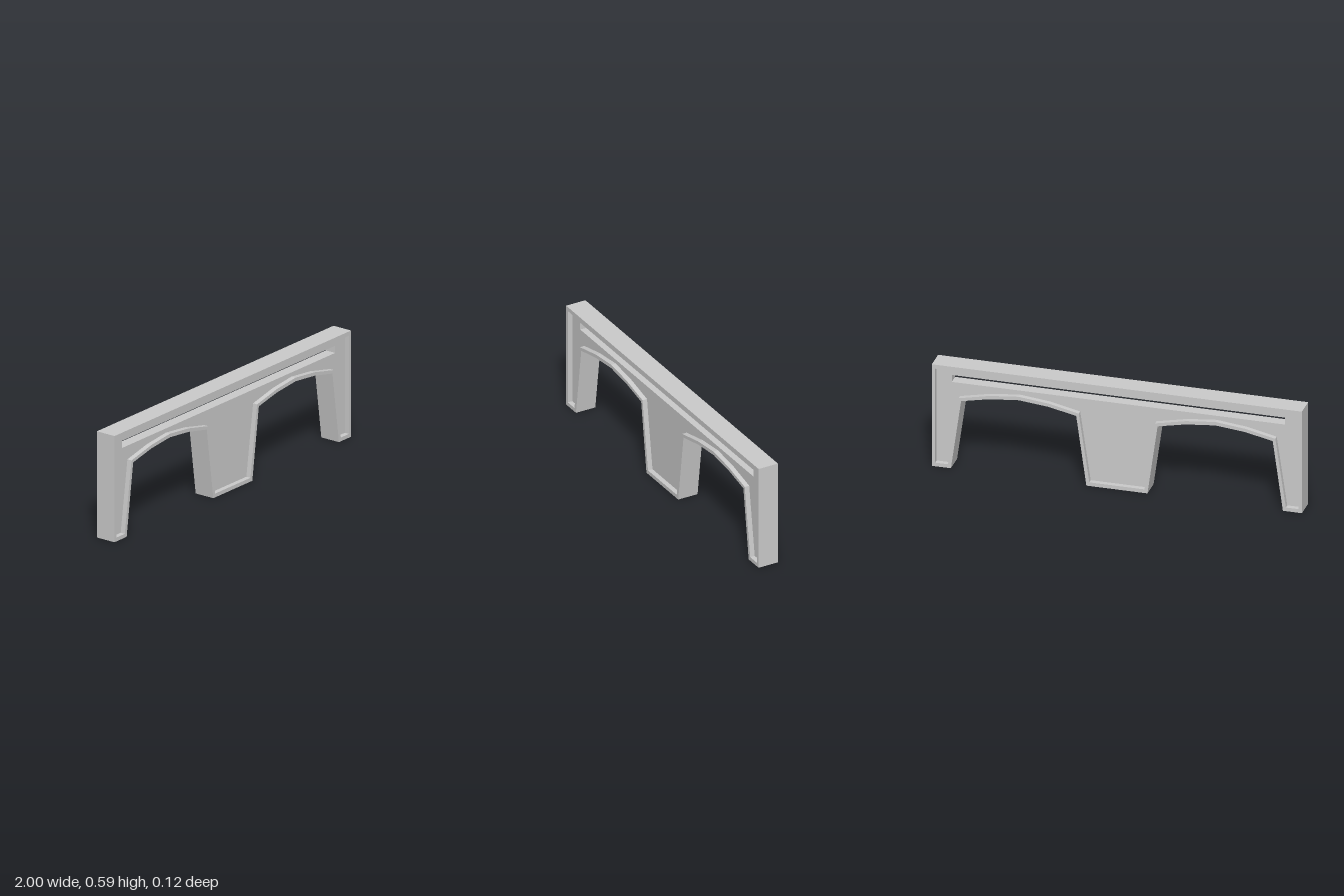
import * as THREE from 'three';

const HALF_DEPTH = 0.058; // outer rim plane
const PANEL_Z = 0.031;    // recessed panel plane

// Completes a left half outline (top corner first) into a counter-clockwise loop
function mirrorLoop(half) {
  const left = half.map(([x, y]) => new THREE.Vector2(x, y));
  const right = half.map(([x, y]) => new THREE.Vector2(-x, y)).reverse();
  return [...left, ...right];
}

// Flat-faced wall following a loop between two depths; edges on the ground stay open
function wallGeometry(loop, z0, z1, openGround = false) {
  const pos = [];
  loop.forEach((a, i) => {
    const b = loop[(i + 1) % loop.length];
    if (openGround && a.y === 0 && b.y === 0) return;
    pos.push(a.x, a.y, z0, b.x, b.y, z0, b.x, b.y, z1);
    pos.push(a.x, a.y, z0, b.x, b.y, z1, a.x, a.y, z1);
  });
  const geo = new THREE.BufferGeometry();
  geo.setAttribute('position', new THREE.Float32BufferAttribute(pos, 3));
  geo.computeVertexNormals();
  return geo;
}

function faceGeometry(loop, hole) {
  const shape = new THREE.Shape(loop);
  shape.holes.push(new THREE.Path(hole));
  return new THREE.ShapeGeometry(shape);
}

export function createModel() {
  const group = new THREE.Group();
  const material = new THREE.MeshStandardMaterial({
    color: 0xcccccc, flatShading: true, side: THREE.DoubleSide,
  });
  const add = (parent, name, geometry) => {
    const mesh = new THREE.Mesh(geometry, material);
    mesh.name = name;
    parent.add(mesh);
  };

  // Silhouette with two arched openings, and the inset edge of its rim
  const outer = mirrorLoop([
    [-1, 0.588], [-1, 0], [-0.897, 0], [-0.842, 0.396], [-0.69, 0.428],
    [-0.531, 0.444], [-0.372, 0.428], [-0.22, 0.396], [-0.165, 0],
  ]);
  const inner = mirrorLoop([
    [-0.982, 0.565], [-0.982, 0.021], [-0.913, 0.021], [-0.856, 0.411], [-0.69, 0.447],
    [-0.531, 0.464], [-0.372, 0.447], [-0.206, 0.411], [-0.149, 0.021],
  ]);
  const slot = mirrorLoop([[-0.9, 0.527], [-0.9, 0.487]]);

  // Outer shell, open under the feet
  add(group, 'outerShell', wallGeometry(outer, -HALF_DEPTH, HALF_DEPTH, true));

  // Long slot passing through both panels
  add(group, 'slotWalls', wallGeometry([...slot].reverse(), -PANEL_Z, PANEL_Z));

  // Rim, rim step and recessed panel, identical on both sides
  for (const name of ['front', 'back']) {
    const side = new THREE.Group();
    side.name = name + 'Side';
    if (name === 'back') side.rotation.y = Math.PI;
    const rim = faceGeometry(outer, inner);
    rim.translate(0, 0, HALF_DEPTH);
    add(side, name + 'Rim', rim);
    add(side, name + 'RimStep', wallGeometry([...inner].reverse(), PANEL_Z, HALF_DEPTH));
    const panel = faceGeometry(inner, slot);
    panel.translate(0, 0, PANEL_Z);
    add(side, name + 'Panel', panel);
    group.add(side);
  }

  return group;
}
